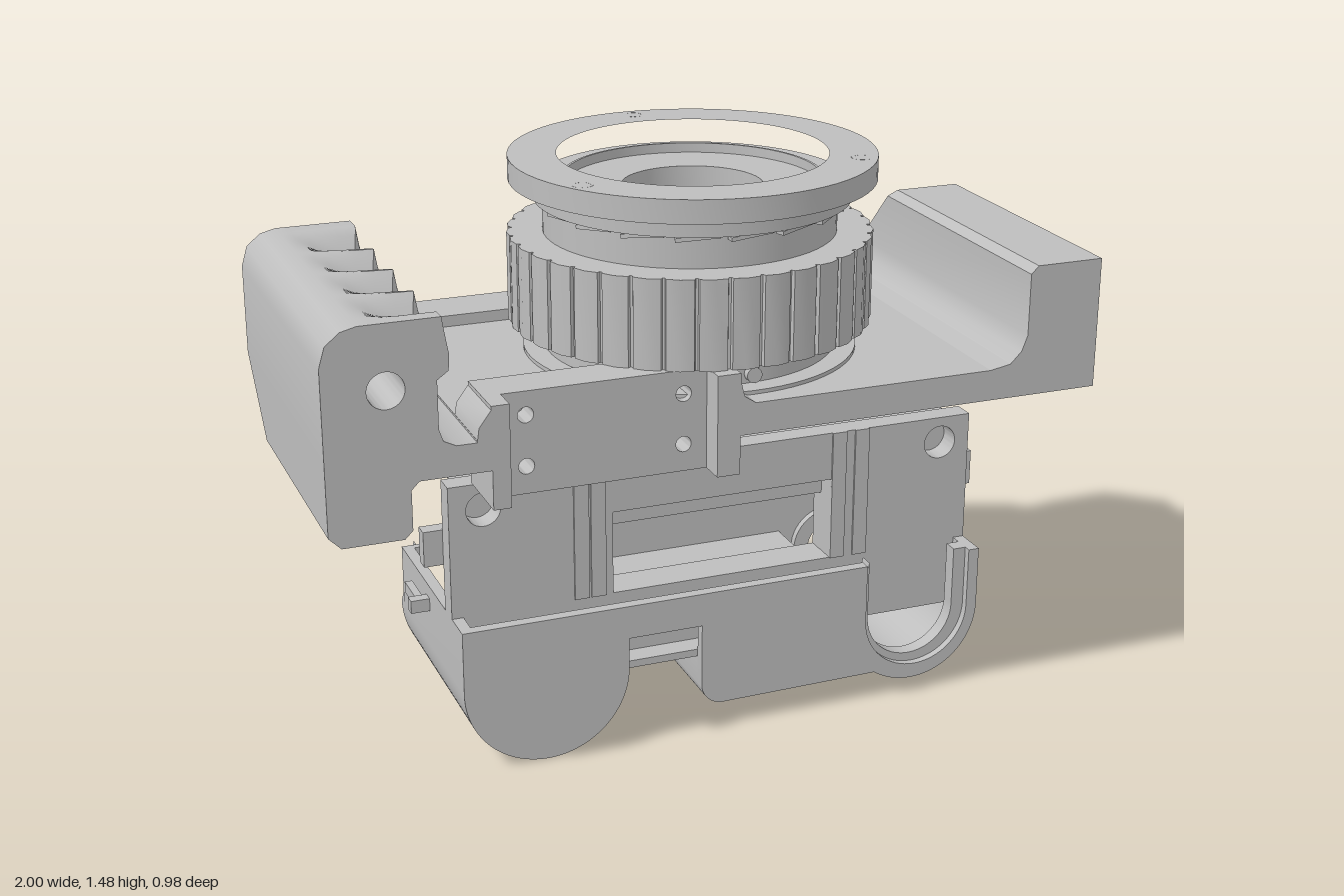
import * as THREE from 'three';
import { toCreasedNormals } from 'three/addons/utils/BufferGeometryUtils.js';

const PI = Math.PI;
const grey = new THREE.MeshStandardMaterial({ color: 0xbebebe });
grey.name = 'grey';

export function createModel() {
  const model = new THREE.Group();
  const add = (name, geo) => {
    const mesh = new THREE.Mesh(toCreasedNormals(geo, 0.6), grey);
    mesh.name = name;
    model.add(mesh);
    return mesh;
  };
  // box given by its limits
  const box = (name, x0, x1, y0, y1, z0, z1) =>
    add(name, new THREE.BoxGeometry(x1 - x0, y1 - y0, z1 - z0)
      .translate((x0 + x1) / 2, (y0 + y1) / 2, (z0 + z1) / 2));
  const poly = (pts) => new THREE.Shape(pts.map((p) => new THREE.Vector2(p[0], p[1])));
  const rect = (x0, x1, y0, y1) => poly([[x0, y0], [x1, y0], [x1, y1], [x0, y1]]);
  const circle = (x, y, r) => new THREE.Path().absarc(x, y, r, 0, 2 * PI);
  // shape pushed from z0 to z1
  const extrude = (shape, holes, z0, z1, steps = 1) => {
    shape.holes.push(...holes);
    return new THREE.ExtrudeGeometry(shape, { depth: z1 - z0, bevelEnabled: false, curveSegments: 24, steps })
      .translate(0, 0, z0);
  };
  const slab = (name, shape, holes, z0, z1) => add(name, extrude(shape, holes, z0, z1));
  // shape drawn in (x, -z), pushed from y0 to y1
  const flat = (name, shape, holes, y0, y1) => add(name, extrude(shape, holes, y0, y1).rotateX(-PI / 2));
  const LX = 0.08, LZ = 0.018;
  const lathe = (name, z, pts) =>
    add(name, new THREE.LatheGeometry(pts.map((p) => new THREE.Vector2(p[0], p[1])), 72).translate(LX, 0, z));

  // ---- lens ----
  lathe('lensFlange', LZ, [[0.343, 1.42], [0.466, 1.42], [0.466, 1.48], [0.343, 1.48]]);
  lathe('lensHead', LZ, [[0.34, 1.37], [0.403, 1.37], [0.403, 1.405], [0.345, 1.405], [0.332, 1.42], [0.325, 1.42],
    [0.325, 1.395], [0.18, 1.395], [0.18, 1.32], [0.3, 1.3]]);
  lathe('lensBarrel', 0, [[0.3, 0.97], [0.375, 0.97], [0.375, 1.37], [0.3, 1.37], [0.3, 0.97]]);
  for (let i = 0; i < 3; i++) {
    const a = PI / 6 + (i * 2 * PI) / 3;
    add('flangeScrew', new THREE.TorusGeometry(0.024, 0.006, 6, 20).rotateX(PI / 2)
      .translate(LX + 0.425 * Math.cos(a), 1.475, LZ + 0.425 * Math.sin(a)));
  }
  // knurled focus ring with narrow vertical slots
  const knurl = [];
  for (let i = 0; i < 36; i++) {
    [[0, 0.453], [0.08, 0.453], [0.12, 0.462], [0.55, 0.467], [0.97, 0.462]].forEach(([t, r]) => {
      const a = ((i + t) * 2 * PI) / 36;
      knurl.push([LX + r * Math.cos(a), r * Math.sin(a)]);
    });
  }
  flat('focusRing', poly(knurl), [circle(LX, 0, 0.37)], 1.05, 1.28);
  // slanted teeth beneath the upper ring
  for (let i = 0; i < 18; i++) {
    const tooth = add('ringTooth', new THREE.BoxGeometry(0.11, 0.01, 0.025));
    const a = (i * 2 * PI) / 18;
    tooth.position.set(LX + 0.375 * Math.sin(a), 1.364, LZ + 0.375 * Math.cos(a));
    tooth.rotation.set(0, a, 0.1);
  }
  lathe('lensCollar', 0, [[0.3, 0.96], [0.43, 0.96], [0.43, 0.98], [0.3, 0.98]]);
  add('lensStop', new THREE.CylinderGeometry(0.02, 0.02, 0.04, 20).rotateX(PI / 2).translate(0.095, 1.005, 0.375));

  // ---- upper body ----
  const gate = () => rect(-0.2, 0.4, -0.1, 0.065);
  flat('deck', poly([[-0.64, -0.485], [-0.56, -0.485], [-0.56, -0.415], [-0.04, -0.415], [-0.04, -0.485],
    [0.8, -0.485], [0.8, 0.36], [-0.64, 0.36]]), [gate()], 0.89, 0.97);
  flat('undersidePlate', rect(-0.6, 0.78, -0.31, 0.25), [gate()], 0.886, 0.89);
  for (const x of [-0.51, 0.7]) for (const z of [-0.17, 0.24])
    add('undersideScrew', new THREE.CylinderGeometry(0.035, 0.035, 0.012, 24).translate(x, 0.886, z));
  // front accessory bracket with two raised cheeks
  slab('frontBracket', rect(-0.605, 0.02, 0.79, 1.05),
    [[-0.5, 0.99], [-0.1, 0.99], [-0.5, 0.86], [-0.1, 0.86]].map(([x, y]) => circle(x, y, 0.02)), 0.34, 0.415);
  box('bracketBacking', -0.605, 0.02, 0.79, 1.05, 0.3, 0.34);
  box('bracketCheek', -0.605, -0.56, 0.79, 1.05, 0.3, 0.485);
  box('bracketCheek', -0.04, 0.02, 0.79, 1.05, 0.3, 0.485);
  slab('bracketFillet', poly([[0.02, 0.97], [0.06, 0.97], [0.03, 0.99], [0.02, 1.03]]), [], 0.3, 0.485);
  slab('bracketFillet', poly([[-0.605, 1.04], [-0.635, 1.0], [-0.64, 0.965], [-0.605, 0.965]]), [], 0.3, 0.485);
  // rear rails
  slab('rearRail', rect(-0.75, -0.2, 0.89, 1.0), [circle(-0.7, 0.945, 0.022), circle(-0.27, 0.945, 0.022)], -0.49, -0.4);
  box('rearRailBacking', -0.75, -0.2, 0.89, 1.0, -0.4, -0.34);
  flat('rearRailEnd', poly([[-0.2, 0.49], [-0.2, 0.34], [-0.13, 0.34], [-0.13, 0.42]]), [], 0.89, 1.0);
  slab('rearRail', rect(0.41, 0.8, 0.89, 0.99), [circle(0.46, 0.94, 0.022)], -0.465, -0.4);
  box('rearRailBacking', 0.41, 0.76, 0.89, 0.99, -0.4, -0.33);
  flat('rearRailEnd', poly([[0.41, 0.33], [0.41, 0.465], [0.35, 0.39], [0.35, 0.33]]), [], 0.89, 0.99);
  box('rearRailMiddle', -0.13, 0.41, 0.89, 0.95, -0.4, -0.36);

  // right-hand grip with finger scallops and a sloping lower back
  const gripPts = [[-0.97, 0.75], [-0.82, 0.75], [-0.8, 0.77], [-0.8, 0.87], [-0.78, 0.89], [-0.64, 0.89], [-0.64, 0.965],
    [-0.69, 0.965], [-0.72, 0.98], [-0.73, 1.01], [-0.73, 1.13], [-0.702, 1.15], [-0.7, 1.19], [-0.707, 1.23],
    [-0.715, 1.28], [-0.76, 1.28], [-0.8, 1.28], [-0.84, 1.28], [-0.88, 1.28], [-0.91, 1.28], [-0.95, 1.27],
    [-0.985, 1.24], [-1, 1.19], [-1, 0.96], [-1, 0.78]];
  const grip = extrude(poly(gripPts), [circle(-0.85, 1.12, 0.045)], -0.36, 0.485, 64);
  const p = grip.attributes.position;
  for (let i = 0; i < p.count; i++) {
    const x = p.getX(i), y = p.getY(i), z = p.getZ(i);
    if (y < 0.96) p.setZ(i, Math.max(z, -0.36 + (0.96 - y)));
    if (x > -0.88 && y > 1.2 && z > -0.3 && z < 0.44) {
      const hollow = Math.abs(Math.sin(((z + 0.3) / 0.74) * 4 * PI)) * (x + 0.88) / 0.18;
      p.setXYZ(i, x - 0.025 * hollow, y - (y > 1.25 ? 0.07 : 0.035) * hollow, z);
    }
  }
  add('grip', grip);

  // opposite handle, back end chamfered above y = 1.05
  const handle = extrude(poly([[0.7, 0.89], [0.96, 0.89], [0.96, 1.05], [0.96, 1.23], [0.82, 1.23], [0.8, 1.21], [0.8, 1.05],
    [0.785, 1.01], [0.755, 0.98], [0.7, 0.97]]), [], -0.465, 0.485);
  const h = handle.attributes.position;
  for (let i = 0; i < h.count; i++)
    if (h.getZ(i) < 0 && h.getY(i) > 1.05) h.setZ(i, -0.465 + (h.getY(i) - 1.05) * 0.97);
  add('handle', handle);
  // side cheek with a sunken panel
  add('handleCheek', extrude(poly([[-0.485, 0.89], [0.465, 0.89], [0.465, 1.05], [0.29, 1.23], [-0.485, 1.23]]),
    [rect(-0.25, 0.27, 0.925, 1.205)], 0.96, 1).rotateY(PI / 2));
  for (const y of [1.0, 1.13]) for (const z of [-0.205, 0.195])
    add('panelScrew', new THREE.CylinderGeometry(0.02, 0.02, 0.008, 20).rotateZ(PI / 2).translate(0.962, y, z));

  // ---- hanging film gate posts ----
  for (const s of [-1, 1]) {
    const x = 0.095 + s * 0.355;
    box('gatePost', x - 0.04, x + 0.04, 0.56, 0.89, -0.05, -0.01);
    box('gatePostStep', x - 0.04, x + 0.04, 0.67, 0.89, -0.06, -0.05);
  }

  // ---- film back: upright plate ----
  slab('filmPlate', rect(-0.64, 0.8, 0.39, 0.745),
    [rect(-0.21, 0.4, 0.391, 0.615), circle(-0.55, 0.675, 0.045), circle(0.715, 0.675, 0.045)], 0.15, 0.21);
  slab('filmPlateBacking', rect(-0.61, 0.77, 0.2, 0.73), [rect(-0.21, 0.4, 0.39, 0.555)], 0.105, 0.15);
  box('filmPlateFoot', -0.61, 0.77, 0.2, 0.39, 0.15, 0.21);
  for (const x of [-0.315, -0.27, 0.4, 0.465]) box('plateRib', x, x + 0.04, 0.39, 0.745, 0.2, 0.215);
  for (const [x0, x1] of [[-0.69, -0.63], [0.79, 0.845]]) {
    box('sideLatch', x0, x1, 0.515, 0.61, 0.11, 0.15);
    box('sideTab', x0, x1, 0.32, 0.355, -0.03, 0);
    box('sideTabArm', x0 + 0.02, x1 - 0.02, 0.32, 0.35, -0.135, 0);
  }

  // ---- film back: lower shell with two spool chambers ----
  const outline = (recess) => {
    const s = new THREE.Shape();
    s.moveTo(-0.64, 0.39);
    s.lineTo(-0.64, 0.22);
    s.absarc(-0.42, 0.22, 0.22, PI, 2 * PI);
    s.lineTo(-0.2, recess);
    s.lineTo(0, recess);
    s.lineTo(0, 0.13);
    s.absarc(0.06, 0.13, 0.06, PI, 1.5 * PI);
    s.absarc(0.61, 0.23, 0.19, -2.187, 0);
    s.lineTo(0.8, 0.39);
    return s;
  };
  const shell = outline(0.2);
  shell.lineTo(0.77, 0.39);
  shell.absarc(0.61, 0.23, 0.16, 0, -PI, true);
  shell.lineTo(0.45, 0.22);
  shell.absarc(-0.42, 0.22, 0.19, 0, -PI, true);
  shell.lineTo(-0.61, 0.39);
  slab('lowerShell', shell, [], -0.25, 0.27);
  box('chamberFloor', -0.21, 0.46, 0.23, 0.27, -0.255, 0.11);
  // end walls, each with one U-shaped opening
  const notched = (recess, x, y, r) => {
    const s = outline(recess);
    s.lineTo(x + r, 0.39);
    s.absarc(x, y, r, 0, -PI, true);
    s.lineTo(x - r, 0.39);
    return s;
  };
  slab('frontWall', notched(0.3, 0.62, 0.23, 0.15), [], 0.27, 0.3);
  slab('backWall', notched(0.2, -0.42, 0.22, 0.155), [circle(0.61, 0.22, 0.07)], -0.27, -0.25);
  box('backWallRear', -0.2, 0.44, 0.2, 0.39, -0.295, -0.27);
  // U-shaped rims around the openings
  const openingRim = (x, y, outer, inner, z0, z1) => {
    const s = new THREE.Shape();
    s.moveTo(x - outer, 0.39);
    s.absarc(x, y, outer, PI, 2 * PI);
    s.lineTo(x + outer, 0.39);
    s.lineTo(x + inner, 0.39);
    s.absarc(x, y, inner, 0, -PI, true);
    s.lineTo(x - inner, 0.39);
    slab('openingRim', s, [], z0, z1);
  };
  openingRim(-0.42, 0.22, 0.22, 0.18, -0.295, -0.27);
  openingRim(0.61, 0.23, 0.165, 0.125, 0.24, 0.28);
  // winding boss
  const ring = (r) => new THREE.Shape().absarc(0.61, 0.215, r, 0, 2 * PI);
  slab('windingBoss', ring(0.175), [circle(0.61, 0.215, 0.145)], -0.295, -0.27);
  slab('windingBossHub', ring(0.11), [circle(0.61, 0.215, 0.066)], -0.29, -0.23);
  // rear ledge with pin holes
  flat('rearLedge', rect(-0.2, 0, 0.2, 0.295), [circle(-0.16, 0.285, 0.006), circle(-0.04, 0.285, 0.006)], 0.2, 0.22);
  return model;
}
